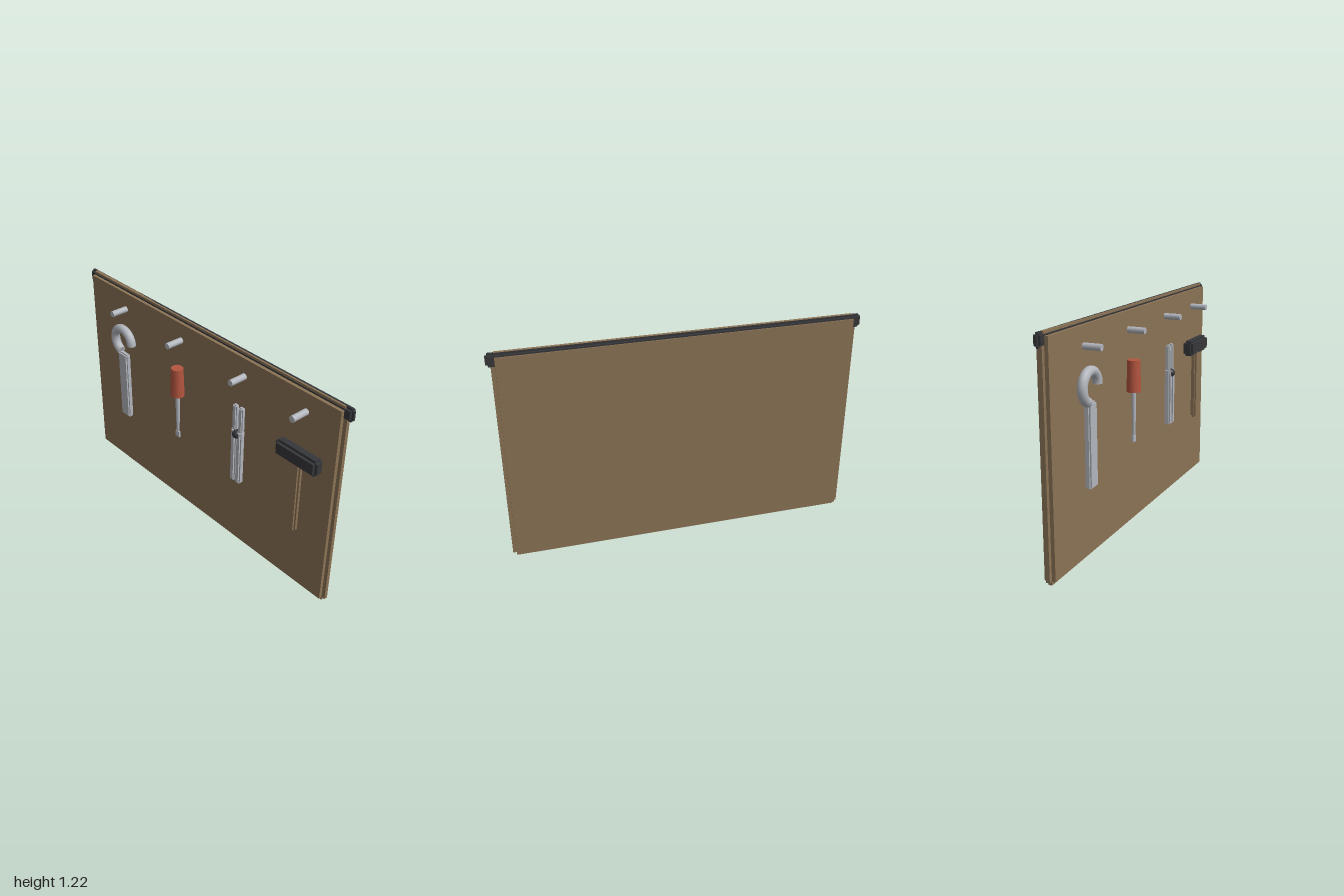
import * as THREE from 'three';

const mat = (name, color, flatShading = false) => {
  const m = new THREE.MeshStandardMaterial({ color, flatShading });
  m.name = name;
  return m;
};

export function createModel() {
  const wood = mat('wood', 0x8b7355);
  const dark = mat('darkIron', 0x36373a);
  const steel = mat('steel', 0xb2b6bd);
  const red = mat('redGrip', 0xb4553f);
  const root = new THREE.Group();
  root.name = 'toolBoard';

  const add = (parent, name, geometry, material, x, y, z) => {
    const mesh = new THREE.Mesh(geometry, material);
    mesh.name = name;
    mesh.position.set(x, y, z);
    parent.add(mesh);
    return mesh;
  };
  const group = (name) => {
    const g = new THREE.Group();
    g.name = name;
    root.add(g);
    return g;
  };

  // Block with stepped edges: three crossing boxes, each full length on one axis
  const steppedBox = (parent, name, w, h, d, step, material, x, y, z) => {
    const block = new THREE.Group();
    block.name = name;
    block.position.set(x, y, z);
    parent.add(block);
    const s = 2 * step;
    [[w, h - s, d - s], [w - s, h, d - s], [w - s, h - s, d]].forEach((size, i) =>
      add(block, name + 'Core' + 'XYZ'[i], new THREE.BoxGeometry(...size), material, 0, 0, 0));
    return block;
  };

  const toolZ = 0.013;

  // Back board and top rail
  steppedBox(root, 'board', 1.95, 1.22, 0.06, 0.02, wood, 0, 0.61, -0.048);
  steppedBox(root, 'topRail', 2, 0.073, 0.036, 0.012, dark, 0, 1.1835, -0.054);

  // Row of pegs
  for (const x of [-0.637, -0.15, 0.338, 0.753]) {
    const peg = add(root, 'peg', new THREE.CylinderGeometry(0.0175, 0.0175, 0.1, 12), steel, x, 1.1, 0.03);
    peg.rotation.x = Math.PI / 2;
  }

  // Wrench with an open ring jaw
  const wrench = group('wrench');
  steppedBox(wrench, 'wrenchHandle', 0.08, 0.435, 0.034, 0.008, steel, -0.636, 0.612, toolZ);
  const arc = Math.PI * 1.4;
  add(wrench, 'wrenchJaw', new THREE.TorusGeometry(0.076, 0.026, 12, 28, arc), steel, -0.637, 0.906, toolZ);
  // Flat caps on both jaw ends
  [0, arc].forEach((a, i) => {
    const cap = add(wrench, 'wrenchJawCap', new THREE.CircleGeometry(0.026, 12), steel,
      -0.637 + 0.076 * Math.cos(a), 0.906 + 0.076 * Math.sin(a), toolZ);
    cap.rotation.set(i ? -Math.PI / 2 : Math.PI / 2, 0, 0);
    if (i) cap.quaternion.premultiply(new THREE.Quaternion().setFromAxisAngle(new THREE.Vector3(0, 0, 1), a));
  });

  // Screwdriver
  const driver = group('screwdriver');
  add(driver, 'screwdriverGrip', new THREE.CylinderGeometry(0.035, 0.04, 0.172, 14), red, -0.15, 0.856, toolZ);
  add(driver, 'screwdriverShaft', new THREE.CylinderGeometry(0.013, 0.009, 0.255, 12), steel, -0.15, 0.648, toolZ);
  add(driver, 'screwdriverTip', new THREE.BoxGeometry(0.03, 0.036, 0.012), steel, -0.15, 0.508, toolZ);

  // Pliers
  const pliers = group('pliers');
  for (const side of [-1, 1]) {
    steppedBox(pliers, 'pliersJaw', 0.03, 0.15, 0.026, 0.006, steel, 0.338 + side * 0.022, 0.863, toolZ);
    steppedBox(pliers, 'pliersHandle', 0.036, 0.335, 0.036, 0.008, steel, 0.338 + side * 0.02, 0.628, toolZ + 0.002);
  }
  add(pliers, 'pliersPivot', new THREE.SphereGeometry(0.025, 14, 10), dark, 0.338, 0.77, 0.022);

  // Hammer
  const hammer = group('hammer');
  steppedBox(hammer, 'hammerHead', 0.27, 0.092, 0.064, 0.015, dark, 0.755, 0.857, toolZ);
  steppedBox(hammer, 'hammerHandle', 0.056, 0.44, 0.034, 0.01, wood, 0.753, 0.615, toolZ);

  return root;
}
